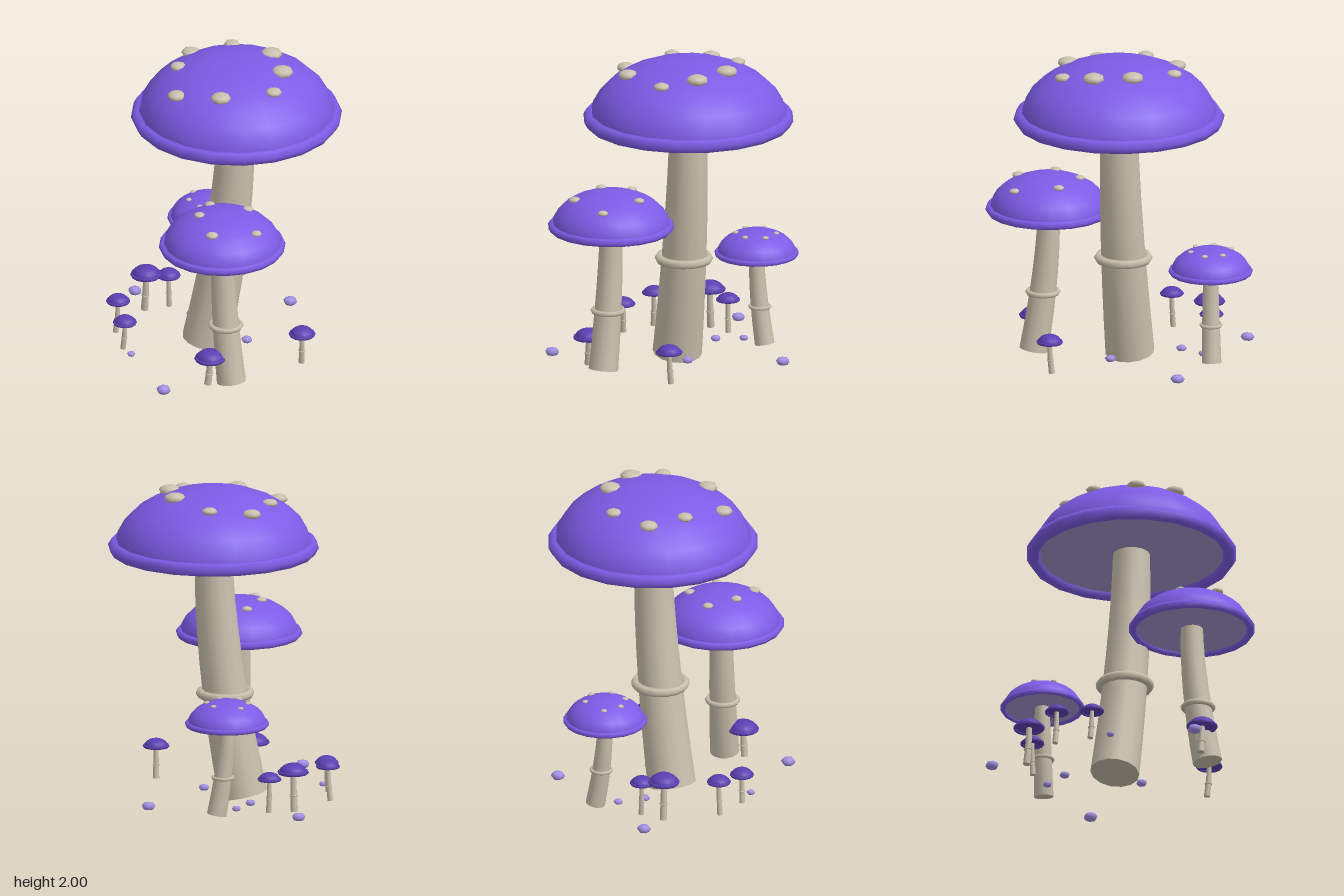
import * as THREE from 'three';

const mat = (name, color) => {
  const m = new THREE.MeshStandardMaterial({ color });
  m.name = name;
  return m;
};

export function createModel() {
  const purple = mat('cap purple', 0x7c5ce6);
  const deepPurple = mat('small cap purple', 0x5a3fb2);
  const beige = mat('stem beige', 0xc9c0ad);
  const gill = mat('gill grey violet', 0xa297cc);
  const lilac = mat('pebble lilac', 0xa391e4);

  const root = new THREE.Group();
  root.name = 'mushroomCluster';

  const add = (parent, name, geometry, material, x = 0, y = 0, z = 0) => {
    const mesh = new THREE.Mesh(geometry, material);
    mesh.name = name;
    mesh.position.set(x, y, z);
    parent.add(mesh);
  };

  // Tapered cylinder whose axis follows a curve
  function bentStem(curve, r0, r1, sides) {
    const geo = new THREE.CylinderGeometry(r1, r0, 1, sides, 8);
    const pos = geo.attributes.position, nor = geo.attributes.normal;
    const up = new THREE.Vector3(0, 1, 0), q = new THREE.Quaternion();
    const v = new THREE.Vector3();
    for (let i = 0; i < pos.count; i++) {
      const t = THREE.MathUtils.clamp(pos.getY(i) + 0.5, 0, 1);
      q.setFromUnitVectors(up, curve.getTangent(t));
      v.set(pos.getX(i), 0, pos.getZ(i)).applyQuaternion(q).add(curve.getPoint(t));
      pos.setXYZ(i, v.x, v.y, v.z);
      v.fromBufferAttribute(nor, i).applyQuaternion(q);
      nor.setXYZ(i, v.x, v.y, v.z);
    }
    return geo;
  }

  const OUTER = 0.664, H = 0.38; // full-size outer cap radius and dome height

  // cap: [x, rim y, z], foot: [x, z], look: cap style, spots: [dx, dz, radius] from the cap centre
  function mushroom(name, s, cap, foot, look, spots = []) {
    const g = new THREE.Group();
    g.name = name;
    root.add(g);
    const [x, y, z] = cap;
    const { top, below, sides, tube } = look;
    const R = (OUTER - tube) * s;

    const dome = new THREE.SphereGeometry(R, sides, 7, 0, Math.PI * 2, 0, Math.PI / 2);
    dome.scale(1, H * s / R, 1);
    add(g, 'capDome', dome, top, x, y, z);
    const rim = new THREE.TorusGeometry(R, tube * s, 6, sides).rotateX(Math.PI / 2);
    add(g, 'capRim', rim, top, x, y, z);
    const under = new THREE.CircleGeometry(R, sides).rotateX(Math.PI / 2);
    add(g, 'gills', under, below, x, y - 0.008 * s, z);

    // Stem leans at the foot and straightens under the cap
    const base = new THREE.Vector3(foot[0], 0.03, foot[1]);
    const head = new THREE.Vector3(x, y, z);
    const bend = new THREE.Vector3(x, 0.03 + (y - 0.03) * 0.58, z);
    const curve = new THREE.QuadraticBezierCurve3(base, bend, head);
    add(g, 'stem', bentStem(curve, 0.155 * s, 0.116 * s, 14), beige);
    const p = curve.getPoint(0.37);
    const ring = new THREE.TorusGeometry(0.157 * s, 0.028 * s, 6, 16).rotateX(Math.PI / 2);
    add(g, 'stemRing', ring, beige, p.x, p.y, p.z);

    for (const [dx, dz, r] of spots) {
      const k = Math.hypot(dx, dz) / R;
      const spot = new THREE.SphereGeometry(r, 8, 6).scale(1, 0.5, 1);
      add(g, 'capSpot', spot, beige, x + dx, y + H * s * Math.sqrt(1 - k * k), z + dz);
    }
  }

  const grown = { top: purple, below: gill, sides: 20, tube: 0.045 };
  const young = { top: deepPurple, below: deepPurple, sides: 14, tube: 0.08 };

  mushroom('largeMushroom', 1, [0.106, 1.62, -0.103], [-0.022, 0.035], grown, [
    [-0.29, -0.205, 0.05], [0.016, -0.272, 0.07], [0.24, -0.175, 0.07], [0.376, 0.008, 0.052],
    [0.222, 0.312, 0.065], [-0.042, 0.452, 0.06], [-0.277, 0.245, 0.052], [-0.405, 0.035, 0.06],
  ]);
  mushroom('mediumMushroom', 0.6, [0.428, 0.948, 0.281], [0.526, 0.288], grown, [
    [0.13, 0.19, 0.04], [0.257, -0.066, 0.034], [-0.09, 0.11, 0.035],
    [-0.187, -0.055, 0.034], [0.012, -0.2, 0.035],
  ]);
  mushroom('lesserMushroom', 0.4, [-0.424, 0.615, -0.325], [-0.405, -0.39], grown, [
    [-0.142, 0.014, 0.02], [-0.035, -0.12, 0.02], [0.08, -0.1, 0.022],
    [0.125, 0.02, 0.02], [0.05, 0.12, 0.022], [-0.07, 0.11, 0.02],
  ]);

  // Sprouts: scale, cap position, foot position
  [
    [0.15, [-0.573, 0.282, 0.07], [-0.588, 0.07]],
    [0.115, [-0.45, 0.25, 0.4], [-0.463, 0.41]],
    [0.115, [-0.245, 0.218, 0.515], [-0.257, 0.52]],
    [0.115, [-0.528, 0.245, -0.077], [-0.525, -0.08]],
    [0.15, [0.47, 0.212, 0.415], [0.46, 0.425]],
    [0.127, [0.618, 0.236, -0.213], [0.605, -0.22]],
  ].forEach(([s, cap, foot], i) => mushroom('sprout' + (i + 1), s, cap, foot, young));

  // Six-sided pebbles floating just above the ground: x, z, radius
  [
    [-0.793, -0.023, 0.045], [-0.135, 0.555, 0.027], [0.375, 0.715, 0.047],
    [-0.06, -0.68, 0.046], [0.175, -0.13, 0.036], [-0.405, -0.245, 0.03], [-0.32, -0.09, 0.034],
  ].forEach(([x, z, r]) => {
    const geo = new THREE.SphereGeometry(r, 6, 4).rotateY(Math.PI / 6).scale(1, 0.6, 1);
    add(root, 'pebble', geo, lilac, x, 0.05, z);
  });

  return root;
}
